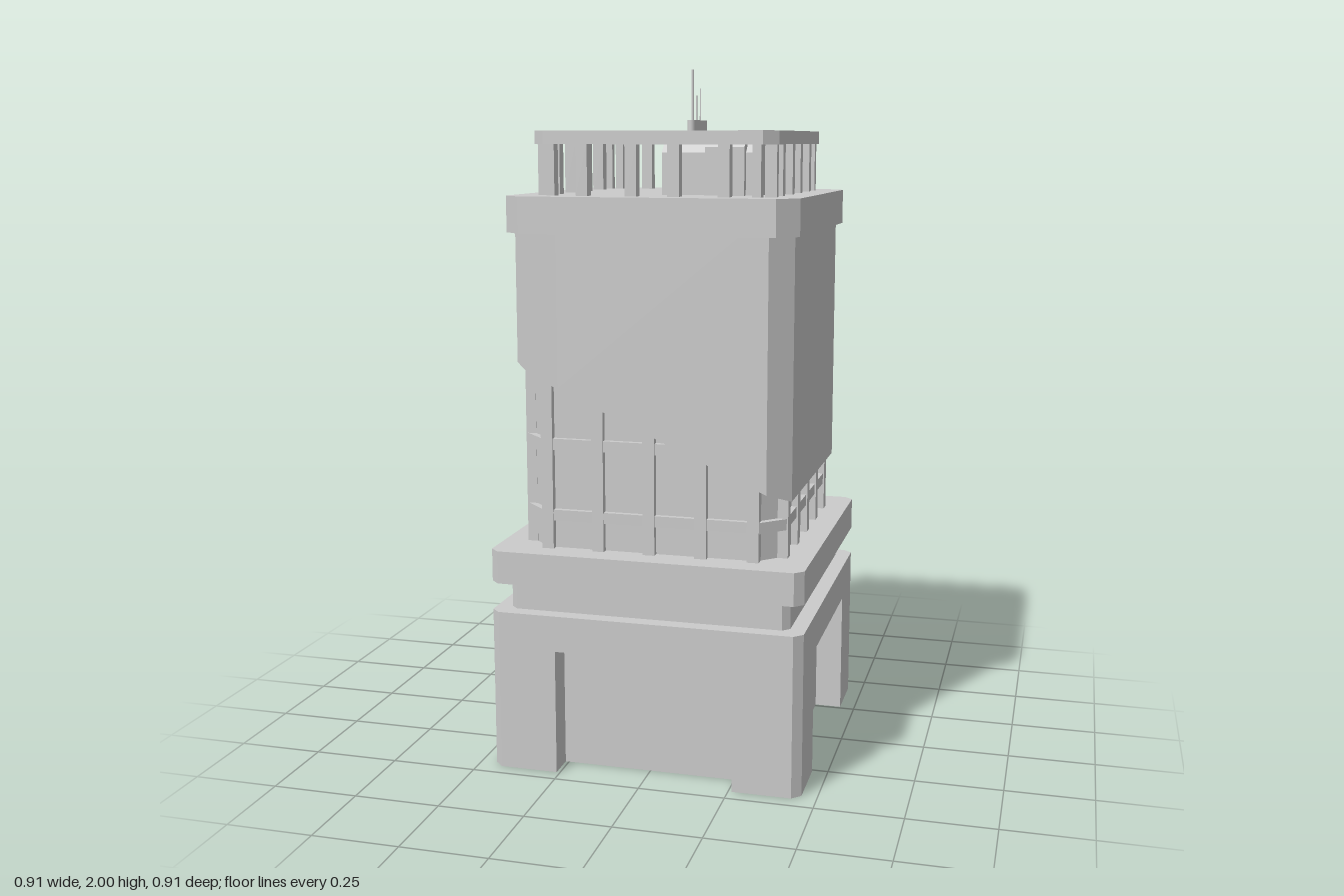
import * as THREE from 'three';

const mat = new THREE.MeshStandardMaterial({ color: 0xcccccc, flatShading: true });
const shellMat = new THREE.MeshStandardMaterial({ color: 0xcccccc, flatShading: true, side: THREE.DoubleSide });

// Square outline with chamfered corners and an optional doorway recess on each side
function outline({ half, chamfer, y, recess = 0 }) {
  const w = 0.26, e = half - chamfer, pts = [];
  const side = [[half, -e], [half, -w], [half - recess, -w], [half - recess, w], [half, w], [half, e]];
  for (let k = 0; k < 4; k++) {
    for (const [a, b] of side) {
      const [x, z] = [[a, b], [-b, a], [-a, -b], [b, -a]][k];
      pts.push(new THREE.Vector3(x, typeof y === 'function' ? y(x) : y, z));
    }
  }
  return pts;
}

// Skin a stack of outlines, optionally closing the bottom and top
function loft(levels, { bottom = false, top = false } = {}) {
  const rings = levels.map(outline), n = rings[0].length, pos = [];
  const tri = (a, b, c) => {
    const area = b.clone().sub(a).cross(c.clone().sub(a)).length();
    if (area > 1e-9) for (const p of [a, b, c]) pos.push(p.x, p.y, p.z);
  };
  const centre = (ring) => ring.reduce((s, p) => s.add(p), new THREE.Vector3()).divideScalar(n);
  const first = rings[0], last = rings[rings.length - 1];
  for (let i = 0; i < n; i++) {
    const j = (i + 1) % n;
    for (let r = 0; r + 1 < rings.length; r++) {
      const lo = rings[r], hi = rings[r + 1];
      tri(lo[i], hi[i], lo[j]);
      tri(hi[i], hi[j], lo[j]);
    }
    if (top) tri(centre(last), last[j], last[i]);
    if (bottom) tri(centre(first), first[i], first[j]);
  }
  const g = new THREE.BufferGeometry();
  g.setAttribute('position', new THREE.Float32BufferAttribute(pos, 3));
  g.computeVertexNormals();
  return g;
}

const prism = (half, chamfer, y0, y1) =>
  loft([{ half, chamfer, y: y0 }, { half, chamfer, y: y1 }], { bottom: true, top: true });

// Block with sloped front and back top edges
function slopedBlock(x0, x1, z0, z1, y0, y1, cut) {
  const s = new THREE.Shape([[z0, y0], [z1, y0], [z1, y1 - cut], [z1 - cut, y1], [z0 + cut, y1], [z0, y1 - cut]]
    .map(([a, b]) => new THREE.Vector2(a, b)));
  return new THREE.ExtrudeGeometry(s, { depth: x1 - x0, bevelEnabled: false })
    .rotateY(-Math.PI / 2).translate(x1, 0, 0);
}

export function createModel() {
  const model = new THREE.Group();
  const add = (name, geometry, material = mat, parent = model) => {
    const m = new THREE.Mesh(geometry, material);
    m.name = name;
    parent.add(m);
    return m;
  };
  // The same row of uprights on all four sides
  const uprights = (name, offsets, width, depth, outer, y0, y1) => {
    const group = new THREE.Group();
    group.name = name;
    for (let k = 0; k < 4; k++) {
      for (const t of offsets) {
        const top = typeof y1 === 'function' ? y1(k, t) : y1;
        const g = new THREE.BoxGeometry(width, top - y0, depth)
          .translate(t, (top + y0) / 2, outer - depth / 2).rotateY(k * Math.PI / 2);
        add(name + 'Post', g, mat, group);
      }
    }
    model.add(group);
  };

  // Hollow podium: recessed doorways, groove and cornice
  add('podium', loft([
    { half: 0.455, chamfer: 0.025, y: 0, recess: 0.08 },
    { half: 0.455, chamfer: 0.025, y: 0.365, recess: 0.08 },
    { half: 0.455, chamfer: 0.025, y: 0.365 },
    { half: 0.455, chamfer: 0.025, y: 0.47 },
    { half: 0.41, chamfer: 0.02, y: 0.47 },
    { half: 0.41, chamfer: 0.02, y: 0.555 },
    { half: 0.455, chamfer: 0.025, y: 0.555 },
    { half: 0.455, chamfer: 0.025, y: 0.65 },
  ], { top: true }), shellMat);

  // Window core with ribs and floor bands
  add('windowCore', prism(0.366, 0.06, 0.65, 1.3));
  uprights('windowRibs', [-0.3, -0.15, 0, 0.15, 0.3], 0.034, 0.03, 0.386, 0.65, 1.25);
  for (const y of [0.748, 0.955]) add('floorBand', prism(0.382, 0.065, y - 0.016, y + 0.016));

  // Upper cladding with a slanting lower edge
  add('upperCladding', loft([
    { half: 0.4, chamfer: 0.06, y: (x) => 1 - 0.45 * x },
    { half: 0.4, chamfer: 0.06, y: 1.55 },
  ], { bottom: true, top: true }));
  add('crown', prism(0.417, 0.055, 1.55, 1.652));

  // Open roof ring on posts
  uprights('roofRail', [-0.2, -0.06, 0.06, 0.2].map((t) => t * 1.01), 0.033, 0.033, 0.341, 1.65, 1.795);
  uprights('roofRailEnd', [-0.293, 0.293], 0.024, 0.033, 0.341, 1.65, 1.795);
  const ring = { half: 0.348, chamfer: 0.037 }, hole = { half: 0.3, chamfer: 0.001 };
  add('roofRing', loft([
    { ...ring, y: 1.793 }, { ...ring, y: 1.83 }, { ...hole, y: 1.83 }, { ...hole, y: 1.793 }, { ...ring, y: 1.793 },
  ]));

  // Rooftop plant room
  add('plantRoom', slopedBlock(-0.01, 0.27, -0.078, 0.2, 1.65, 1.8, 0.03));
  add('plantRoomSpine', slopedBlock(0.12, 0.232, -0.096, 0.22, 1.65, 1.815, 0.03));

  // Round-ended aerial base and its aerials
  const slot = new THREE.Shape();
  slot.absarc(0, 0.067, 0.011, 0, Math.PI, false);
  slot.absarc(0, -0.067, 0.011, Math.PI, Math.PI * 2, false);
  add('aerialBase', new THREE.ExtrudeGeometry(slot, { depth: 0.065, bevelEnabled: false, curveSegments: 6 })
    .rotateX(-Math.PI / 2).translate(0.06, 1.795, 0.071));
  for (const [z, top, r] of [[0.125, 2, 0.004], [0.08, 1.93, 0.002], [0.036, 1.95, 0.002]]) {
    add('aerial', new THREE.CylinderGeometry(r, r, top - 1.855, 8).translate(0.06, (top + 1.855) / 2, z));
  }
  return model;
}
